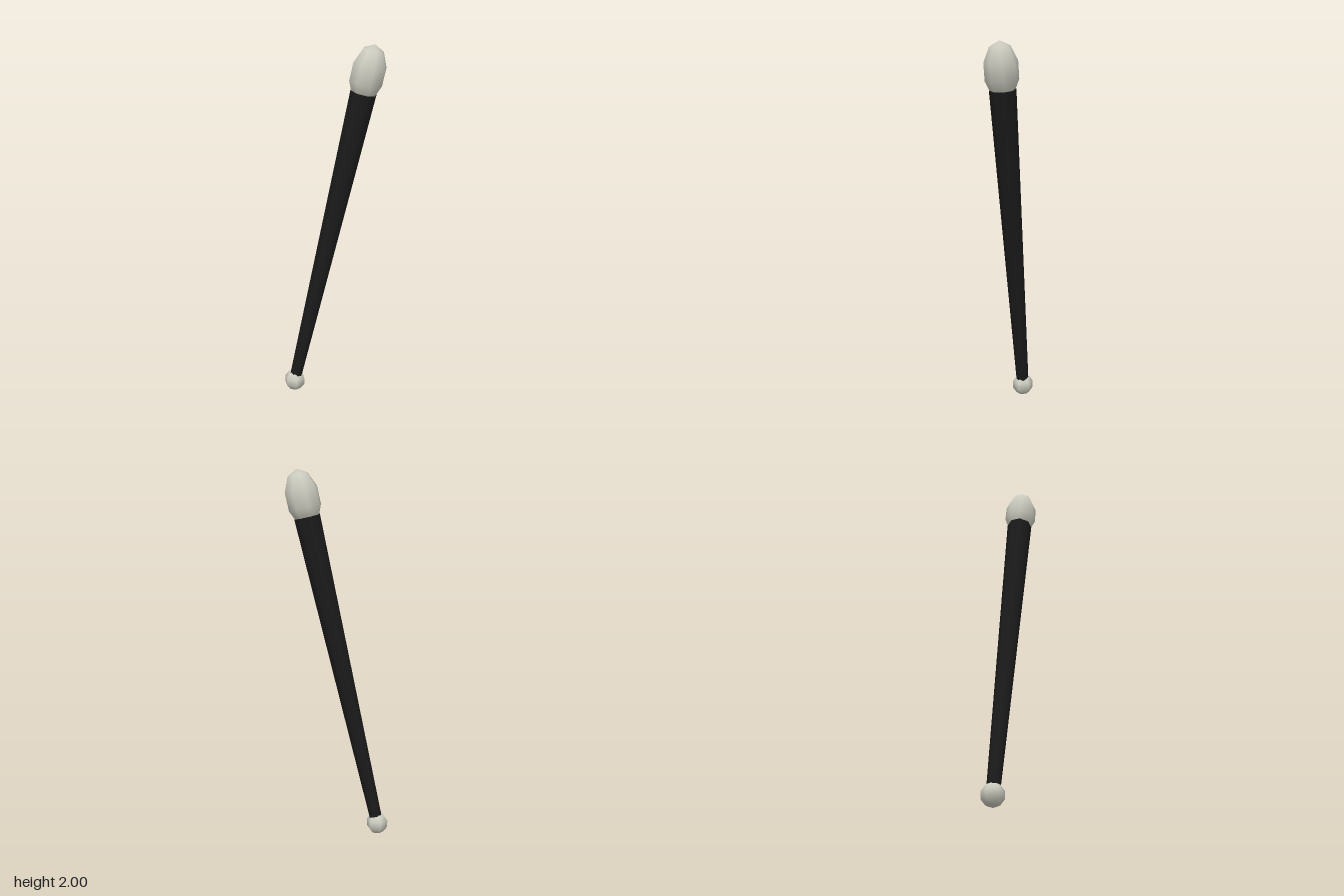
import * as THREE from 'three';

export function createModel() {
  const group = new THREE.Group();
  const pale = new THREE.MeshStandardMaterial({ color: 0xccccc0 });
  const dark = new THREE.MeshStandardMaterial({ color: 0x1b1b1b });

  // Leaning axis from the foot ball to the head
  const foot = new THREE.Vector3(-0.21, 0.061, -0.092);
  const top = new THREE.Vector3(0.163, 1.851, 0.057);
  const axis = top.clone().sub(foot).normalize();
  const lean = new THREE.Quaternion().setFromUnitVectors(new THREE.Vector3(0, 1, 0), axis);

  const add = (name, geometry, material, position) => {
    const mesh = new THREE.Mesh(geometry, material);
    mesh.name = name;
    mesh.position.copy(position);
    group.add(mesh);
    return mesh;
  };

  // Small upright ball at the foot
  add('footBall', new THREE.SphereGeometry(0.061, 6, 5).rotateY(Math.PI / 6), pale, foot);

  // Tapered eight-sided shaft, its ends hidden in the ball and the head
  const start = foot.clone().addScaledVector(axis, 0.02);
  const end = top.clone().addScaledVector(axis, -0.095);
  const shaft = add('shaft',
    new THREE.CylinderGeometry(0.07, 0.034, start.distanceTo(end), 8),
    dark, start.clone().lerp(end, 0.5));
  shaft.quaternion.copy(lean);

  // Egg-shaped padded head, stretched along the shaft
  const head = add('head',
    new THREE.SphereGeometry(1, 8, 5).scale(0.092, 0.153, 0.092), pale, top);
  head.quaternion.copy(lean);

  return group;
}
